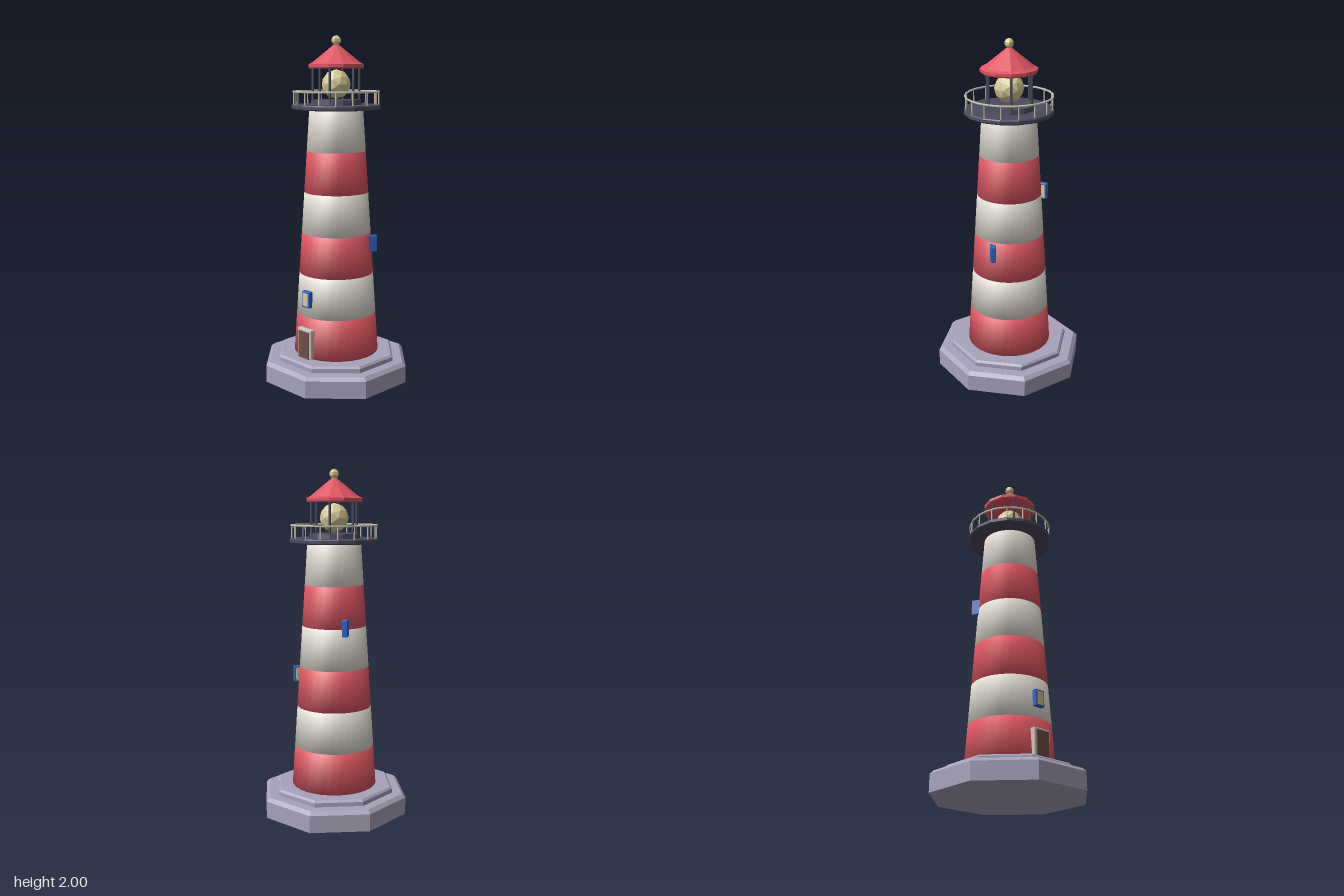
import * as THREE from 'three';
import { mergeVertices } from 'three/addons/utils/BufferGeometryUtils.js';
import { RoundedBoxGeometry } from 'three/addons/geometries/RoundedBoxGeometry.js';

const mat = (name, color, flatShading = false) => {
  const m = new THREE.MeshStandardMaterial({ color, flatShading });
  m.name = name;
  return m;
};

export function createModel() {
  const red = mat('red', 0xdf5661);
  const white = mat('white', 0xe2ddd4);
  const stone = mat('stone', 0xa8a3bb, true);
  const dark = mat('dark metal', 0x4c4b5f, true);
  const roofRed = mat('roof red', 0xdf5661, true);
  const glow = mat('lamp yellow', 0xd8cc96, true);
  const rail = mat('rail and trim', 0xc9c5b5);
  const blue = mat('window blue', 0x2f62c4);
  const brown = mat('door brown', 0x705048);

  const model = new THREE.Group();
  const add = (name, geo, material, x = 0, y = 0, z = 0, parent = model) => {
    const mesh = new THREE.Mesh(geo, material);
    mesh.name = name;
    mesh.position.set(x, y, z);
    parent.add(mesh);
    return mesh;
  };
  // Closed turned solid, given as [radius, height] pairs from bottom to top
  const turned = (points, sides) =>
    new THREE.LatheGeometry(points.map(([r, y]) => new THREE.Vector2(r, y)), sides);

  // Octagonal plinth: two chamfered steps with a flat side to the front
  const step = (name, apothem, y0, y1, bevel) => {
    const k = 1 / Math.cos(Math.PI / 8);
    const r = apothem * k, top = (apothem - bevel) * k;
    const geo = turned([[0, y0], [r, y0], [r, y1 - bevel], [top, y1], [0, y1]], 8);
    add(name, geo, stone).rotation.y = Math.PI / 8;
  };
  step('lowerPlinth', 0.408, 0, 0.12, 0.02);
  step('upperPlinth', 0.332, 0.12, 0.155, 0.011);

  // Tapering tower in six bands, each with softly rolled normals
  const base = 0.155, bandHeight = 0.2383;
  const towerRadius = (y) => 0.25 - 0.095 * (y - base) / 1.43;
  for (let i = 0; i < 6; i++) {
    const y0 = base + i * bandHeight, y1 = y0 + bandHeight;
    let geo = new THREE.CylinderGeometry(towerRadius(y1), towerRadius(y0), bandHeight, 32);
    geo.deleteAttribute('normal');
    geo.deleteAttribute('uv');
    geo = mergeVertices(geo);
    geo.computeVertexNormals();
    add('towerBand' + (i + 1), geo, i % 2 ? white : red, 0, (y0 + y1) / 2);
  }

  // Door in its frame
  add('doorFrame', new RoundedBoxGeometry(0.114, 0.175, 0.05, 1, 0.007), rail, 0, 0.243, 0.237);
  add('door', new THREE.BoxGeometry(0.086, 0.16, 0.008), brown, 0, 0.235, 0.263);

  // Three windows winding up the tower, the upper two set askew in the wall
  for (let i = 0; i < 3; i++) {
    const angle = i * Math.PI * 2 / 3, y = 0.503 + i * 0.307;
    const r = towerRadius(y) + 0.007;
    const win = new THREE.Group();
    win.name = 'window' + (i + 1);
    win.position.set(Math.sin(angle) * r, y, Math.cos(angle) * r);
    win.rotation.y = -angle;
    add('windowFrame', new RoundedBoxGeometry(0.064, 0.097, 0.032, 1, 0.006), blue, 0, 0, 0, win);
    add('windowPane', new THREE.BoxGeometry(0.044, 0.077, 0.004), glow, 0, 0, 0.0155, win);
    model.add(win);
  }

  // Gallery deck with railing
  add('galleryDeck', turned([[0, 1.584], [0.25, 1.584], [0.256, 1.59], [0.256, 1.606], [0.251, 1.612], [0, 1.612]], 16), dark);
  add('handrail', new THREE.TorusGeometry(0.245, 0.006, 6, 24), rail, 0, 1.685).rotation.x = Math.PI / 2;
  for (let i = 0; i < 16; i++) {
    const a = i * Math.PI / 8;
    add('railPost', new THREE.CylinderGeometry(0.004, 0.004, 0.078, 6), rail,
      Math.sin(a) * 0.243, 1.648, Math.cos(a) * 0.243);
  }

  // Lantern room: floor, six pillars and the lamp
  add('lanternFloor', new THREE.CylinderGeometry(0.146, 0.15, 0.027, 12), dark, 0, 1.625);
  for (let i = 0; i < 6; i++) {
    const a = i * Math.PI / 3;
    add('lanternPillar', new THREE.CylinderGeometry(0.007, 0.007, 0.19, 6), dark,
      Math.cos(a) * 0.137, 1.729, Math.sin(a) * 0.137);
  }
  add('lamp', new THREE.IcosahedronGeometry(0.084, 1), glow, 0, 1.727);

  // Twelve-sided roof with a chamfered eave, and the finial
  add('roof', turned([[0, 1.815], [0.158, 1.815], [0.162, 1.822], [0.162, 1.838], [0.14, 1.848], [0.012, 1.95], [0, 1.95]], 12), roofRed);
  add('finial', new THREE.SphereGeometry(0.028, 6, 5), glow, 0, 1.972).rotation.y = 0;

  return model;
}
